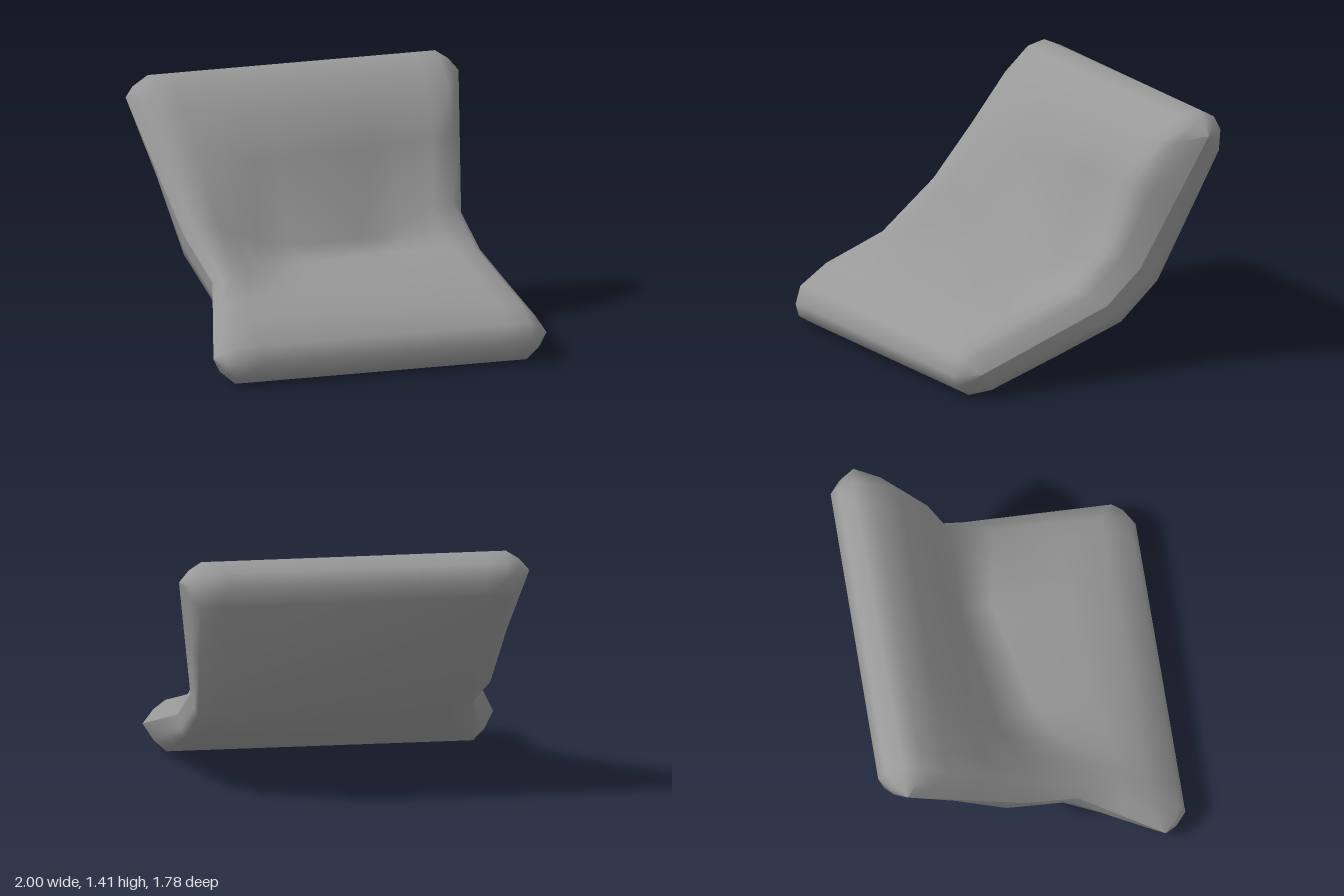
import * as THREE from 'three';

// Side seams [x, y, z]: front corner, two bend points, top corner
const leftSeam = [[-0.94, 0.14, 0.77], [-0.8, 0.46, 0.3], [-0.87, 0.66, 0], [-1, 1.3, -0.66]];
const rightSeam = [[1, 0.14, 0.68], [0.89, 0.4, -0.15], [0.84, 0.57, -0.38], [0.94, 1.3, -0.75]];

// Profile loop just inside the seams:
// [left z, y, right z, y, position on seam, inset, middle's shift in z, y]
const profile = [
  // underside, front to back
  [0.68, 0, 0.56, 0.01, 0, 0.12],
  [0.45, 0.165, 0.155, 0.15, 0.5, 0.07, 0, -0.045],
  [0.22, 0.33, -0.25, 0.29, 1, 0.03],
  [-0.1, 0.53, -0.5, 0.48, 2, 0.03],
  [-0.44, 0.86, -0.685, 0.83, 2.5, 0.07, -0.06, 0],
  [-0.78, 1.19, -0.87, 1.18, 3, 0.11],
  // rounded top end
  [-0.81, 1.29, -0.89, 1.29, 3, 0.13],
  [-0.77, 1.37, -0.85, 1.37, 3, 0.13],
  [-0.67, 1.415, -0.77, 1.415, 3, 0.13],
  [-0.57, 1.39, -0.66, 1.39, 3, 0.13],
  [-0.43, 1.26, -0.51, 1.26, 3, 0.13],
  // upper side, back to front
  [-0.2, 1.01, -0.36, 1.03, 2.5, 0.11, -0.01, -0.03],
  [0.06, 0.74, -0.24, 0.68, 2, 0.09, -0.07, -0.18],
  [0.41, 0.5, 0, 0.48, 1, 0.09, -0.17, -0.01],
  [0.56, 0.41, 0.35, 0.37, 0.5, 0.1, -0.02, 0.015],
  [0.7, 0.33, 0.61, 0.29, 0, 0.12, 0, 0.02],
  // rounded front end
  [0.86, 0.22, 0.77, 0.22, 0, 0.12],
  [0.89, 0.12, 0.8, 0.12, 0, 0.12],
  [0.87, 0.05, 0.78, 0.05, 0, 0.12],
  [0.79, 0, 0.7, 0, 0, 0.12],
];

function seamPoint(seam, t) {
  const i = Math.min(Math.floor(t), 2);
  return new THREE.Vector3(...seam[i]).lerp(new THREE.Vector3(...seam[i + 1]), t - i);
}

function rimPoint([lz, ly, rz, ry, t, inset], side) {
  const x = seamPoint(side < 0 ? leftSeam : rightSeam, t).x - side * inset;
  return side < 0 ? new THREE.Vector3(x, ly, lz) : new THREE.Vector3(x, ry, rz);
}

// The closing loops on one side: the seam itself and a rounding loop
function sideLoops(side) {
  const seam = side < 0 ? leftSeam : rightSeam;
  return [0, 1].map(k => profile.map(row => {
    const a = seamPoint(seam, row[4]);
    const b = rimPoint(row, side);
    return new THREE.Vector3(
      THREE.MathUtils.lerp(a.x, b.x, k * 0.45),
      THREE.MathUtils.lerp(a.y, b.y, k * 0.6),
      THREE.MathUtils.lerp(a.z, b.z, k * 0.6));
  }));
}

// A loop between the rims, f from 0 (negative x) to 1 (positive x)
function innerLoop(f) {
  const w = Math.min(1, (1 - Math.abs(f * 2 - 1)) / 0.57);
  return profile.map(row => {
    const [dz = 0, dy = 0] = row.slice(6);
    const p = rimPoint(row, -1).lerp(rimPoint(row, 1), f);
    return p.add(new THREE.Vector3(0, dy * w, dz * w));
  });
}

function loft(loops) {
  const n = loops[0].length;
  const index = [];
  for (let s = 0; s < loops.length - 1; s++) {
    for (let i = 0; i < n; i++) {
      const j = (i + 1) % n;
      const a = s * n + i, c = s * n + j, b = a + n, d = c + n;
      index.push(a, c, b, b, c, d);
    }
  }
  const geometry = new THREE.BufferGeometry().setFromPoints(loops.flat());
  geometry.setIndex(index);
  geometry.computeVertexNormals();
  return geometry;
}

export function createModel() {
  const group = new THREE.Group();
  group.name = 'foldedCushion';

  // Cushion lofted from one side seam to the other
  const loops = sideLoops(-1);
  const steps = 14;
  for (let k = 0; k <= steps; k++) loops.push(innerLoop(k / steps));
  loops.push(...sideLoops(1).reverse());

  const material = new THREE.MeshStandardMaterial({ color: 0x999999 });
  const cushion = new THREE.Mesh(loft(loops), material);
  cushion.name = 'cushion';
  group.add(cushion);
  return group;
}
